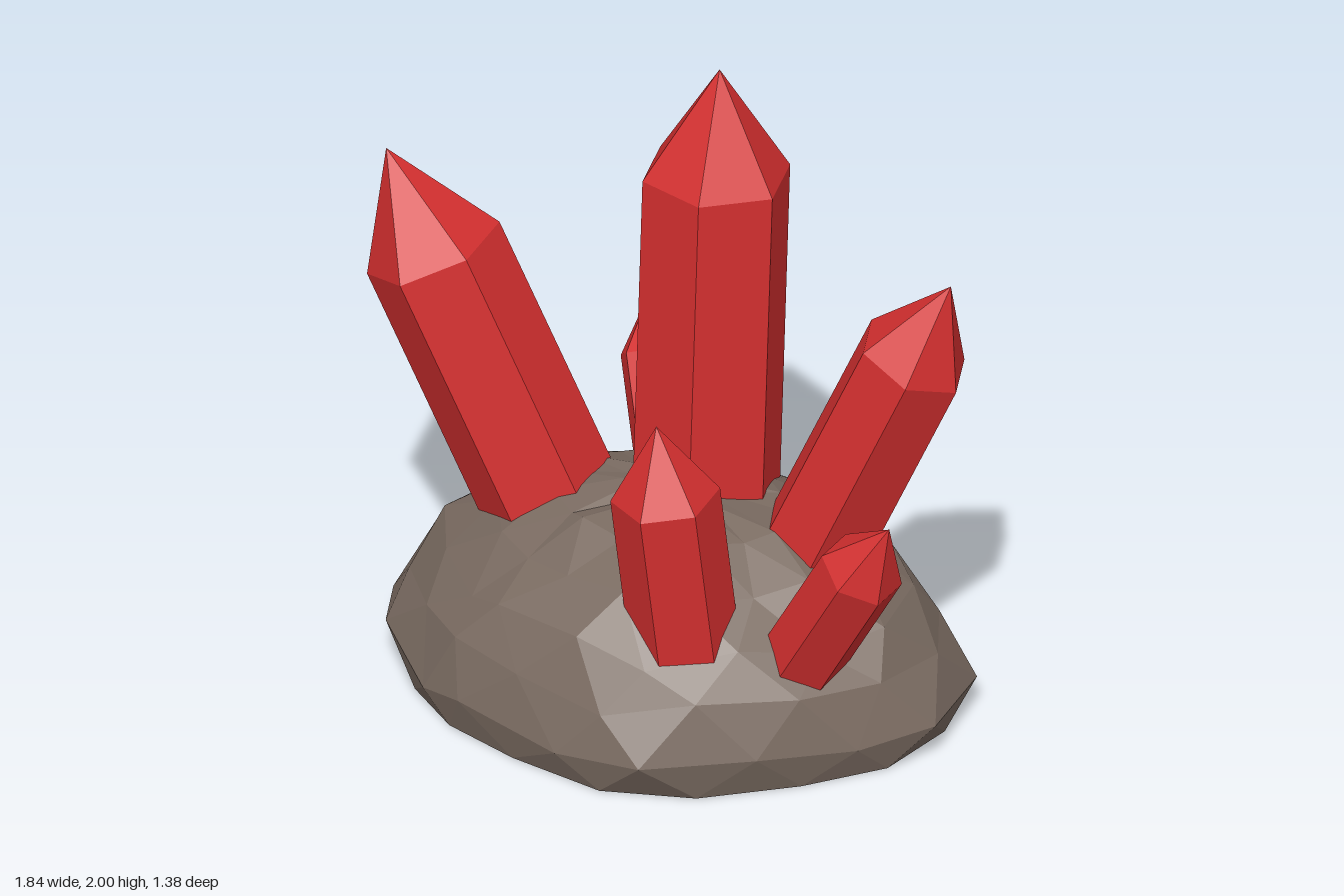
import * as THREE from 'three';

const crystalRed = new THREE.MeshStandardMaterial({ color: 0xd32f2f, flatShading: true });
crystalRed.name = 'crystalRed';
const rockBrown = new THREE.MeshStandardMaterial({ color: 0x7a6b61, flatShading: true });
rockBrown.name = 'rockBrown';

// Footprint of the rock [x, z], counterclockwise seen from above
const FOOTPRINT = [
  [0.92, 0], [0.86, -0.35], [0.66, -0.51], [0.43, -0.66], [0.15, -0.7], [-0.12, -0.64],
  [-0.37, -0.6], [-0.53, -0.57], [-0.69, -0.48], [-0.86, -0.2], [-0.92, 0.05], [-0.79, 0.32],
  [-0.54, 0.53], [-0.38, 0.6], [0, 0.68], [0.29, 0.68], [0.57, 0.46], [0.78, 0.22],
];
// Rings of the rock from the ground up: [scale of footprint, height, jitter]
const RINGS = [
  [0.96, 0, 0], [1, 0.12, 0.03], [0.93, 0.28, 0.03], [0.8, 0.41, 0.03],
  [0.62, 0.54, 0.025], [0.4, 0.635, 0.02], [0.17, 0.675, 0.02],
];

function seeded(seed) {
  return () => {
    seed = (seed * 16807) % 2147483647;
    return seed / 2147483647 - 0.5;
  };
}

function makeRock() {
  const n = FOOTPRINT.length, random = seeded(77);
  // Every ring is turned by half a step so the facets are triangular
  const rings = RINGS.map(([scale, y, jitter], i) => FOOTPRINT.map((_, k) => {
    const at = k + (i - 1) / 2 + n;
    const a = FOOTPRINT[Math.floor(at) % n], b = FOOTPRINT[Math.ceil(at) % n];
    const s = scale + (i > 1 ? random() * jitter : 0);
    return [s * (a[0] + b[0]) / 2, y + random() * jitter * 2, s * (a[1] + b[1]) / 2];
  }));
  const positions = [];
  const triangle = (...corners) => corners.forEach((c) => positions.push(...c));
  for (let k = 0; k < n; k++) {
    const m = (k + 1) % n;
    for (let i = 0; i < rings.length - 1; i++) {
      const low = rings[i], high = rings[i + 1];
      triangle(low[k], low[m], high[k]);
      triangle(low[m], high[m], high[k]);
    }
    // Sunken crown and flat underside
    const crown = rings[rings.length - 1];
    triangle(crown[k], crown[m], [0, 0.65, 0.02]);
    triangle(rings[0][m], rings[0][k], [0, 0, 0]);
  }
  const geometry = new THREE.BufferGeometry();
  geometry.setAttribute('position', new THREE.Float32BufferAttribute(positions, 3));
  geometry.computeVertexNormals();
  const rock = new THREE.Mesh(geometry, rockBrown);
  rock.name = 'rockBase';
  return rock;
}

// Six-sided prism with a pointed end; corner is the direction of one of its edges
function makeCrystal({ name, foot, shoulder, tip, radius, corner }) {
  const base = new THREE.Vector3(...foot), top = new THREE.Vector3(...shoulder);
  const axis = top.clone().sub(base).normalize();
  base.addScaledVector(axis, -0.15); // root buried in the rock
  const height = top.distanceTo(base);
  const profile = [[0, 0], [radius, 0], [radius, height], [0, height + tip]]
    .map(([x, y]) => new THREE.Vector2(x, y));
  const crystal = new THREE.Mesh(new THREE.LatheGeometry(profile, 6), crystalRed);
  const z = new THREE.Vector3(...corner).projectOnPlane(axis).normalize();
  const x = new THREE.Vector3().crossVectors(axis, z);
  crystal.quaternion.setFromRotationMatrix(new THREE.Matrix4().makeBasis(x, axis, z));
  crystal.position.copy(base);
  crystal.name = name;
  return crystal;
}

const CRYSTALS = [
  { name: 'centreCrystal', foot: [0.02, 0.6, -0.19], shoulder: [0.025, 1.65, -0.24], tip: 0.35, radius: 0.23, corner: [-0.3, 0, -1] },
  { name: 'largeRightCrystal', foot: [-0.4, 0.54, 0.015], shoulder: [-0.745, 1.345, 0.115], tip: 0.355, radius: 0.215, corner: [0, 0, 1] },
  { name: 'largeLeftCrystal', foot: [0.45, 0.6, -0.14], shoulder: [0.735, 1.25, -0.19], tip: 0.29, radius: 0.175, corner: [1, 0, 0.1] },
  { name: 'frontCrystal', foot: [0.25, 0.45, 0.35], shoulder: [0.22, 0.92, 0.4], tip: 0.245, radius: 0.165, corner: [0.05, 0, 1] },
  { name: 'smallLeftCrystal', foot: [0.58, 0.37, 0.19], shoulder: [0.805, 0.75, 0.24], tip: 0.215, radius: 0.13, corner: [0, 0, 1] },
  { name: 'smallBackCrystal', foot: [-0.28, 0.51, -0.48], shoulder: [-0.385, 0.74, -0.59], tip: 0.17, radius: 0.115, corner: [1, 0, -0.1] },
];

export function createModel() {
  const model = new THREE.Group();
  model.name = 'crystalCluster';
  model.add(makeRock(), ...CRYSTALS.map(makeCrystal));
  return model;
}
